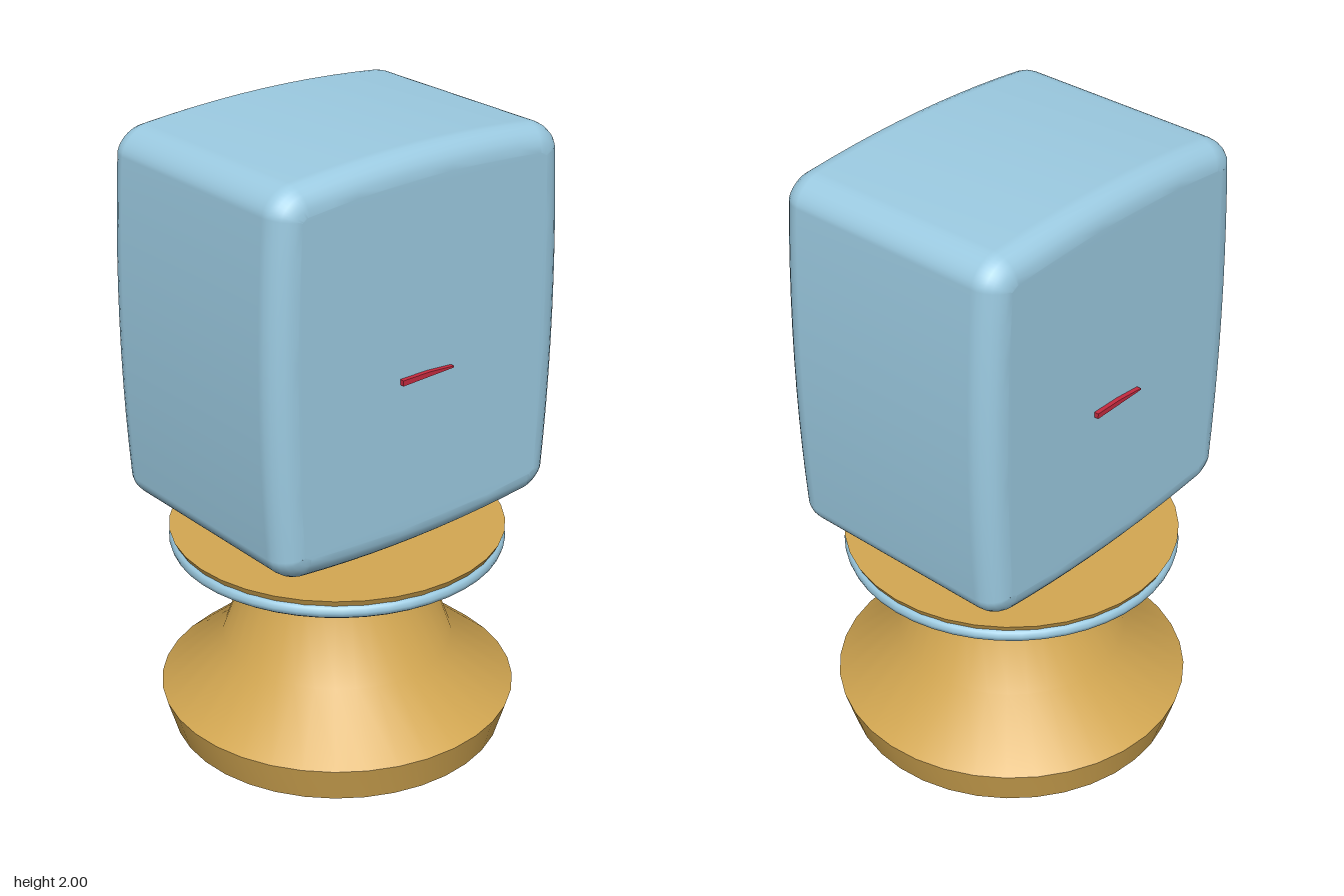
import * as THREE from 'three';
import { mergeVertices, toCreasedNormals } from 'three/addons/utils/BufferGeometryUtils.js';

const blue = new THREE.MeshStandardMaterial({ name: 'pale blue', color: 0x9ccbe2 });
const gold = new THREE.MeshStandardMaterial({ name: 'gold', color: 0xd4a852 });
const red = new THREE.MeshStandardMaterial({ name: 'red', color: 0xc62b40 });

function addMesh(parent, name, geometry, material) {
  const mesh = new THREE.Mesh(geometry, material);
  mesh.name = name;
  parent.add(mesh);
  return mesh;
}

// Bulging rounded rectangle, centred on the origin
function bulgingOutline() {
  const s = new THREE.Shape();
  s.moveTo(0.515, -0.505);
  s.quadraticCurveTo(0.555, 0, 0.515, 0.505);
  s.bezierCurveTo(0.512, 0.543, 0.467, 0.579, 0.425, 0.583);
  s.quadraticCurveTo(0, 0.627, -0.425, 0.583);
  s.bezierCurveTo(-0.467, 0.579, -0.512, 0.543, -0.515, 0.505);
  s.quadraticCurveTo(-0.555, 0, -0.515, -0.505);
  s.bezierCurveTo(-0.512, -0.543, -0.467, -0.579, -0.425, -0.583);
  s.quadraticCurveTo(0, -0.627, 0.425, -0.583);
  s.bezierCurveTo(0.467, -0.579, 0.512, -0.543, 0.515, -0.505);
  return s;
}

function bodyGeometry() {
  const bevel = 0.077;
  let g = new THREE.ExtrudeGeometry(bulgingOutline(), {
    depth: 0.64, curveSegments: 10, bevelEnabled: true, bevelSegments: 6,
    bevelSize: bevel, bevelThickness: bevel, bevelOffset: -bevel,
  });
  g.translate(0, 1.395, -0.32);
  // Weld everything so the rounded edges shade smoothly
  g.deleteAttribute('uv');
  g.deleteAttribute('normal');
  g = mergeVertices(g, 1e-4);
  g.computeVertexNormals();
  return g;
}

// Thin wedge, tall at its left end
function mouthGeometry() {
  const s = new THREE.Shape();
  s.moveTo(-0.097, 1.333);
  s.lineTo(0.092, 1.338);
  s.lineTo(0.092, 1.343);
  s.lineTo(0, 1.35);
  s.lineTo(-0.097, 1.35);
  s.closePath();
  const g = new THREE.ExtrudeGeometry(s, { depth: 0.016, bevelEnabled: false });
  return g.translate(0, 0, 0.395);
}

export function createModel() {
  const model = new THREE.Group();
  model.name = 'figureOnPedestal';

  // Floating head block with a mouth on front and back
  addMesh(model, 'head', bodyGeometry(), blue);
  const mouth = mouthGeometry();
  addMesh(model, 'frontMouth', mouth, red);
  addMesh(model, 'backMouth', mouth, red).rotation.y = Math.PI;

  // Turned pedestal with a very shallow pointed underside
  const profile = [
    [0, 0.005], [0.52, 0.045], [0.555, 0.163], [0.36, 0.325], [0.275, 0.56],
    [0.48, 0.65], [0.515, 0.72], [0, 0.72],
  ].map(([r, y]) => new THREE.Vector2(r, y));
  profile[0].y = 0;
  const turned = new THREE.LatheGeometry(profile, 36);
  addMesh(model, 'pedestal', toCreasedNormals(turned, 0.65), gold);

  // Ring round the rim
  const ring = new THREE.TorusGeometry(0.492, 0.024, 10, 48);
  ring.rotateX(Math.PI / 2).translate(0, 0.68, 0);
  addMesh(model, 'rimRing', ring, blue);

  return model;
}
